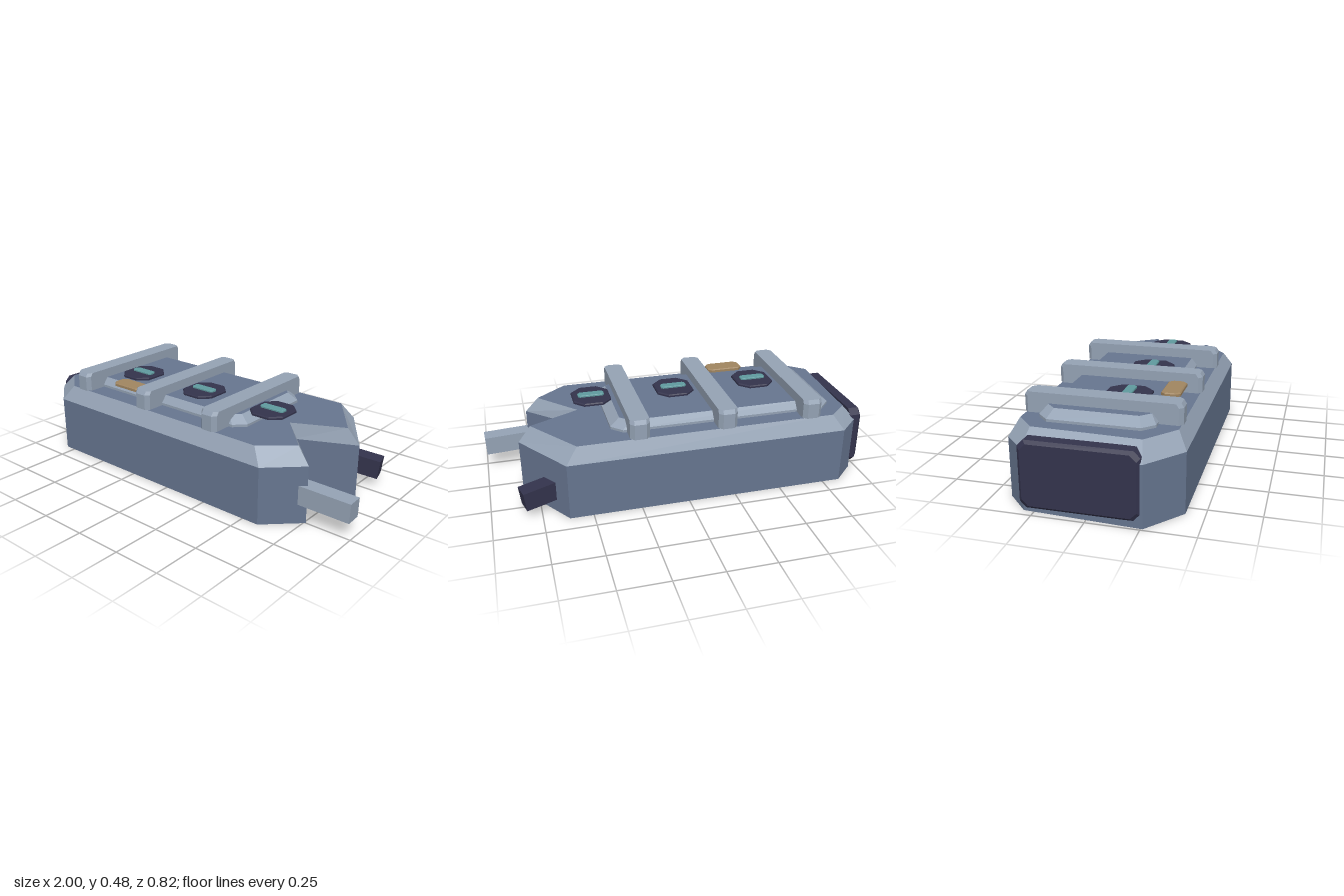
import * as THREE from 'three';

const mat = (color) => new THREE.MeshStandardMaterial({ color, flatShading: true, roughness: 0.8 });

// Stacks outlines ([x, z] points, anticlockwise from above) given as { y, pts }.
function loft(rings, bottom = true, top = true) {
  const pos = [];
  const at = (ring, i) => {
    const [x, z] = ring.pts[i % ring.pts.length];
    return [x, ring.y, z];
  };
  for (let k = 0; k < rings.length - 1; k++) {
    const lo = rings[k], up = rings[k + 1];
    for (let i = 0; i < lo.pts.length; i++) {
      const a = at(lo, i), b = at(lo, i + 1), c = at(up, i + 1), d = at(up, i);
      pos.push(...a, ...b, ...c, ...a, ...c, ...d);
    }
  }
  const cap = (ring, flip) => {
    const flat = ring.pts.map(([x, z]) => new THREE.Vector2(x, -z));
    for (const [a, b, c] of THREE.ShapeUtils.triangulateShape(flat, [])) {
      const order = flip ? [a, c, b] : [a, b, c];
      order.forEach((i) => pos.push(...at(ring, i)));
    }
  };
  if (bottom) cap(rings[0], true);
  if (top) cap(rings[rings.length - 1], false);
  const geo = new THREE.BufferGeometry();
  geo.setAttribute('position', new THREE.Float32BufferAttribute(pos, 3));
  geo.computeVertexNormals();
  return geo;
}

// Rectangle with cut corners.
function octagon(w, d, cut) {
  const x = w / 2, z = d / 2;
  return [
    [-x + cut, z], [x - cut, z], [x, z - cut], [x, -z + cut],
    [x - cut, -z], [-x + cut, -z], [-x, -z + cut], [-x, z - cut],
  ];
}

// Cut-corner block standing on y = 0 with its top edge bevelled.
function block(w, h, d, cut, bevel, insetX = bevel, insetZ = bevel) {
  const base = octagon(w, d, cut);
  return loft([
    { y: 0, pts: base },
    { y: h - bevel, pts: base },
    { y: h, pts: octagon(w - 2 * insetX, d - 2 * insetZ, cut) },
  ]);
}

export function createModel() {
  const model = new THREE.Group();
  const hullMat = mat(0x66758f);
  const trimMat = mat(0x94a2b4);
  const darkMat = mat(0x33334c);
  const tealMat = mat(0x5f9a9e);
  const amberMat = mat(0xa08560);

  function add(name, geometry, material, x = 0, y = 0, z = 0, parent = model) {
    const mesh = new THREE.Mesh(geometry, material);
    mesh.name = name;
    mesh.position.set(x, y, z);
    parent.add(mesh);
    return mesh;
  }

  // Hull with a notched end, a lighter bevel and a flat deck
  const wall = [
    [-0.81, 0.41], [0.59, 0.41], [0.76, 0.25], [0.53, 0.03], [0.825, -0.105],
    [0.62, -0.41], [-0.845, -0.41], [-0.96, -0.3], [-0.99, 0.26],
  ];
  const rim = [
    [-0.76, 0.365], [0.53, 0.365], [0.69, 0.235], [0.5, 0.03], [0.76, -0.095],
    [0.56, -0.37], [-0.79, -0.37], [-0.89, -0.28], [-0.91, 0.24],
  ];
  add('hull', loft([{ y: 0, pts: wall }, { y: 0.3, pts: wall }], true, false), hullMat);
  add('hullBevel', loft([{ y: 0.3, pts: wall }, { y: 0.38, pts: rim }], false, false), trimMat);
  add('deck', loft([{ y: 0.38, pts: rim }]  , false, true), hullMat);

  // Raised deck plate
  const plateBase = octagon(1.19, 0.55, 0.055);
  const plateTop = octagon(1.09, 0.49, 0.045);
  add('plateBevel', loft([
    { y: 0.38, pts: plateBase }, { y: 0.393, pts: plateBase }, { y: 0.43, pts: plateTop },
  ], false, false), trimMat, -0.225, 0, -0.012);
  add('plateTop', loft([{ y: 0.43, pts: plateTop }], false, true), hullMat, -0.225, 0, -0.012);

  // Ribs across the deck, with a lit pad to the side of each
  [-0.67, -0.21, 0.245].forEach((x, i) => {
    add('rib' + (i + 1), block(0.1, 0.1, 0.755, 0.02, 0.02, 0, 0.013), trimMat, x, 0.38, -0.004);
    const pad = new THREE.Group();
    pad.name = 'pad' + (i + 1);
    pad.position.set(x + 0.175, 0.43, 0.063);
    model.add(pad);
    add('padBase', block(0.2, 0.014, 0.22, 0.05, 0.005), darkMat, 0, 0, 0, pad);
    add('padLight', block(0.14, 0.012, 0.048, 0.01, 0.003), tealMat, 0, 0.012, 0, pad);
  });

  // Amber plaque
  add('plaque', block(0.2, 0.018, 0.095, 0.02, 0.005), amberMat, -0.39, 0.431, 0.262);

  // Dark end panel
  const panel = add('endPanel', block(0.325, 0.07, 0.555, 0.03, 0.015), darkMat, -0.93, 0.193, -0.027);
  panel.rotation.z = Math.PI / 2;

  // Prongs at the notched end
  const frontProng = add('frontProng', new THREE.BoxGeometry(0.28, 0.1, 0.085), trimMat, 0.857, 0.147, 0.232);
  frontProng.rotation.set(0, 0.045, -0.03);
  const backProng = add('backProng', new THREE.BoxGeometry(0.24, 0.1, 0.085), darkMat, 0.725, 0.115, -0.301);
  backProng.rotation.set(0, 0.25, -0.12);

  return model;
}
